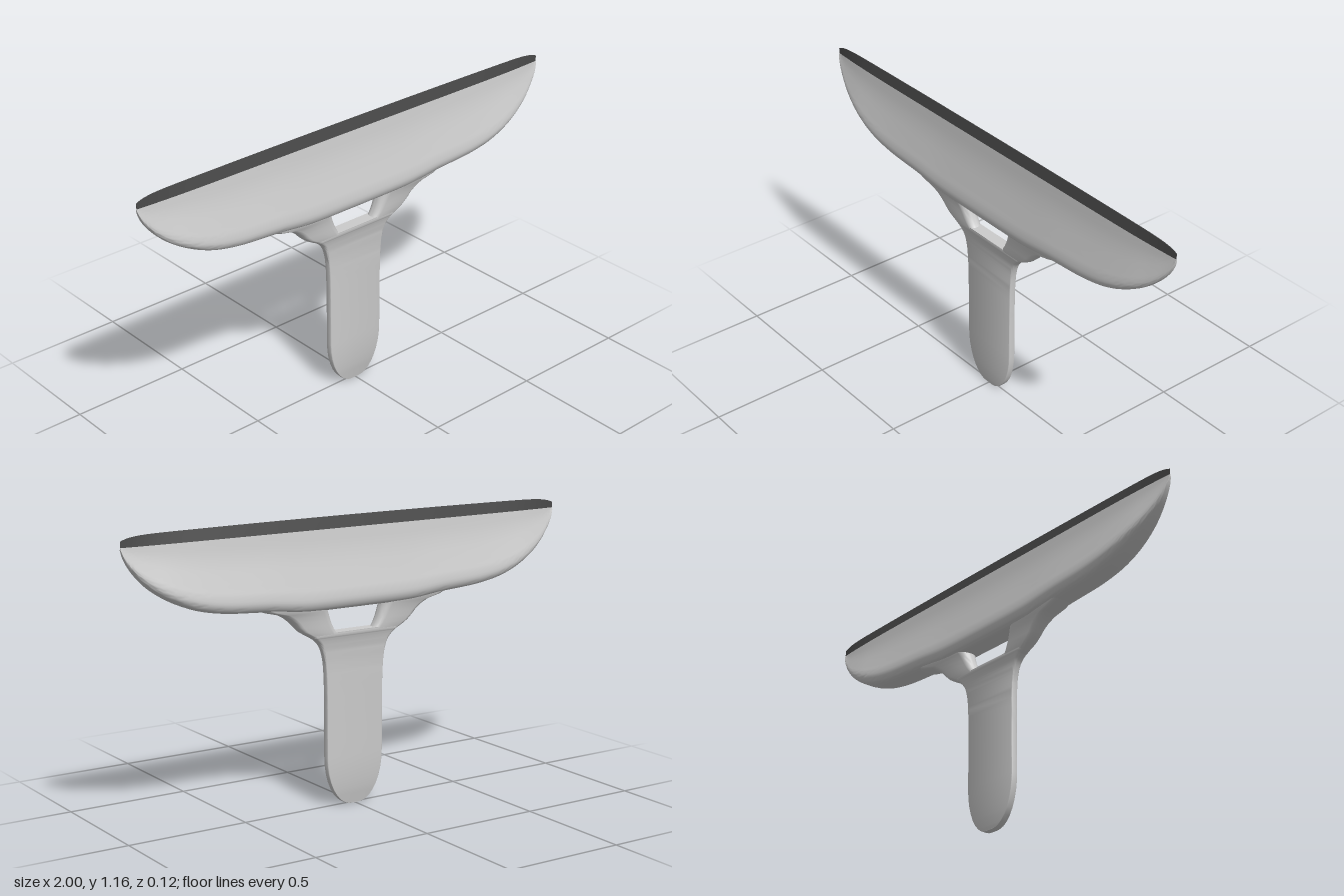
import * as THREE from 'three';
import { toCreasedNormals } from 'three/addons/utils/BufferGeometryUtils.js';

const grey = new THREE.MeshStandardMaterial({ color: 0xcccccc });
const rubber = new THREE.MeshStandardMaterial({ color: 0x484848 });

// Skin a list of equal-length rings of [x, y, z] points and cap both ends.
function loft(name, rings, material, crease = 0.65) {
  const n = rings[0].length, last = (rings.length - 1) * n, index = [];
  for (let i = 0; i < rings.length - 1; i++) {
    for (let j = 0; j < n; j++) {
      const a = i * n + j, d = i * n + (j + 1) % n;
      index.push(a, a + n, d + n, a, d + n, d);
    }
  }
  for (let j = 1; j < n - 1; j++) {
    index.push(0, j, j + 1, last, last + j + 1, last + j);
  }
  const geo = new THREE.BufferGeometry();
  geo.setAttribute('position', new THREE.Float32BufferAttribute(rings.flat(2), 3));
  geo.setIndex(index);
  const mesh = new THREE.Mesh(toCreasedNormals(geo, crease), material);
  mesh.name = name;
  return mesh;
}

// Smooth samples through a few [a, b, c] points.
const smooth = (pts, n) =>
  new THREE.CatmullRomCurve3(pts.map(p => new THREE.Vector3(...p)), false, 'centripetal').getPoints(n);

// Horizontal rounded-rectangle ring from x0 to x1, half depth d.
function roundedRing(y, x0, x1, d, r) {
  const ring = [];
  const cx = (x0 + x1) / 2, w = (x1 - x0) / 2;
  [[1, 1], [-1, 1], [-1, -1], [1, -1]].forEach(([sx, sz], q) => {
    for (let k = 0; k <= 5; k++) {
      const a = (q + k / 5) * Math.PI / 2;
      ring.push([cx + sx * (w - r) + r * Math.cos(a), y, sz * (d - r) + r * Math.sin(a)]);
    }
  });
  return ring;
}

export function createModel() {
  const model = new THREE.Group();
  model.name = 'squeegee';
  const seam = 1.11;

  // Half outline of the head: x, lower edge, half depth; mirrored to full length
  const half = smooth([
    [0, 0.797, 0.062], [0.25, 0.8, 0.062], [0.4, 0.816, 0.062], [0.6, 0.832, 0.062],
    [0.72, 0.858, 0.059], [0.82, 0.902, 0.05], [0.9, 0.956, 0.035],
    [0.96, 1.02, 0.019], [0.99, 1.07, 0.009], [1, 1.1, 0.004],
  ], 50);
  const stations = [
    ...half.slice(1).reverse().map(p => new THREE.Vector3(-p.x, p.y, p.z)),
    ...half,
  ];

  // Teardrop section: height fraction, depth fraction
  const section = smooth([
    [0, 0.3, 0], [0.015, 0.62, 0], [0.05, 0.86, 0], [0.13, 1, 0], [0.23, 0.95, 0],
    [0.33, 0.83, 0], [0.49, 0.63, 0], [0.65, 0.44, 0], [0.81, 0.29, 0], [1, 0.17, 0],
  ], 26);
  model.add(loft('head', stations.map(s => {
    const side = section.map(p => [s.x, s.y + (seam - s.y) * p.x, s.z * p.y]);
    return [...side, ...side.map(([x, y, z]) => [x, y, -z]).reverse()];
  }), grey));

  // Thin tapered wiping blade along the top
  model.add(loft('rubberBlade', stations.map(s => {
    const ax = Math.abs(s.x);
    const top = 1.157 - 0.006 * ax * ax - 0.018 * Math.pow(ax, 24);
    const w = s.z * 0.17, tip = Math.min(w * 0.5, 0.0015);
    return [[s.x, seam, w], [s.x, top, tip], [s.x, top, -tip], [s.x, seam, -w]];
  }), rubber, 0.3));

  // Flat grip with a round end: y, half width, half depth
  const gripRows = [
    ...[0, 0.002, 0.008, 0.02, 0.04, 0.065, 0.095, 0.13, 0.165, 0.2].map(y =>
      new THREE.Vector3(y, 0.02 + 0.11 * Math.sqrt(1 - (1 - y / 0.2) ** 2), 0.014)),
    ...smooth([
      [0.21, 0.13, 0.014], [0.4, 0.13, 0.014], [0.54, 0.133, 0.014], [0.6, 0.14, 0.015],
      [0.65, 0.158, 0.018], [0.68, 0.185, 0.023], [0.695, 0.207, 0.026], [0.705, 0.215, 0.025],
    ], 28),
  ];
  model.add(loft('grip', gripRows.map(p => {
    const t = THREE.MathUtils.smoothstep(p.x, 0.55, 0.69);
    return roundedRing(p.x, -p.y, p.y, p.z, THREE.MathUtils.lerp(0.003, p.z * 0.9, t));
  }), grey));

  // Two flared struts joining grip and head: y, inner x, outer x, half depth
  const strut = [
    [0.675, 0.06, 0.178, 0.02], [0.69, 0.075, 0.2, 0.024], [0.705, 0.088, 0.228, 0.027],
    [0.72, 0.098, 0.252, 0.029], [0.74, 0.108, 0.274, 0.031], [0.76, 0.116, 0.292, 0.033],
    [0.78, 0.123, 0.318, 0.036], [0.797, 0.129, 0.35, 0.04], [0.812, 0.132, 0.41, 0.044],
    [0.825, 0.135, 0.44, 0.044],
  ];
  for (const side of [1, -1]) {
    const rings = strut.map(([y, a, b, d]) =>
      roundedRing(y, side > 0 ? a : -b, side > 0 ? b : -a, d, d * 0.9));
    model.add(loft(side > 0 ? 'leftStrut' : 'rightStrut', rings, grey, 0.9));
  }

  return model;
}
